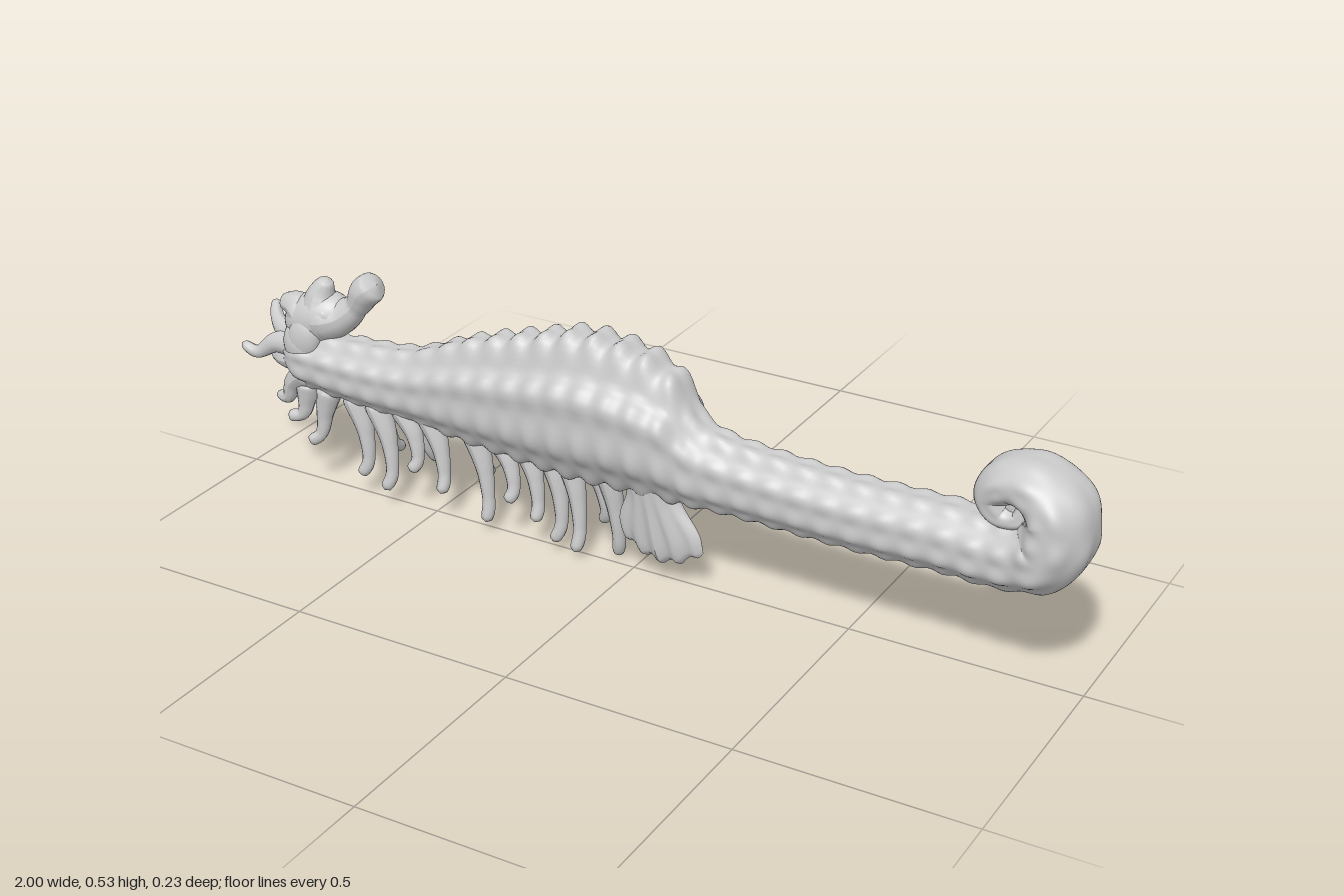
import * as THREE from 'three';

const material = new THREE.MeshStandardMaterial({ color: 0xcccccc, side: THREE.DoubleSide });
const V = (p) => new THREE.Vector3(...p);
const smooth = THREE.MathUtils.smoothstep;

function add(group, geometry, name) {
  const mesh = new THREE.Mesh(geometry, material);
  mesh.name = name;
  group.add(mesh);
}

// Linear interpolation through a list of numbers, t in 0..1
function sample(list, t) {
  const f = t * (list.length - 1);
  const i = Math.min(Math.floor(f), list.length - 2);
  return THREE.MathUtils.lerp(list[i], list[i + 1], f - i);
}

// Tube whose radius follows a list and closes with rounded ends
function taperedTube(points, radii, steps = 28, sides = 12) {
  const curve = new THREE.CatmullRomCurve3(points.map(V));
  const geo = new THREE.TubeGeometry(curve, steps, 1, sides, false);
  const pos = geo.attributes.position;
  const p = new THREE.Vector3();
  for (let i = 0; i <= steps; i++) {
    const t = i / steps;
    const c = curve.getPointAt(t);
    const cap = Math.sqrt(Math.max(0, 1 - Math.pow(Math.abs(2 * t - 1), 14)));
    const r = sample(radii, t) * Math.max(cap, 0.02);
    for (let j = 0; j <= sides; j++) {
      const k = i * (sides + 1) + j;
      p.fromBufferAttribute(pos, k).sub(c).multiplyScalar(r).add(c);
      pos.setXYZ(k, p.x, p.y, p.z);
    }
  }
  geo.computeVertexNormals();
  return geo;
}

// Body and curled tail: x, y, z of the centre line, half height, half width
const stations = [
  [-0.88, 0.31, -0.005, 0.03, 0.03],
  [-0.84, 0.308, -0.005, 0.066, 0.058],
  [-0.7, 0.302, -0.003, 0.074, 0.06],
  [-0.55, 0.306, -0.003, 0.083, 0.064],
  [-0.4, 0.329, 0.0, 0.118, 0.074],
  [-0.25, 0.346, 0.0, 0.144, 0.088],
  [-0.1, 0.362, 0.0, 0.164, 0.1],
  [0.03, 0.359, 0.002, 0.155, 0.1],
  [0.11, 0.339, 0.003, 0.135, 0.088],
  [0.155, 0.305, 0.006, 0.1, 0.07],
  [0.21, 0.294, 0.008, 0.086, 0.06],
  [0.3, 0.289, 0.01, 0.08, 0.058],
  [0.5, 0.284, 0.012, 0.076, 0.062],
  [0.7, 0.288, 0.014, 0.074, 0.067],
  [0.84, 0.292, 0.018, 0.072, 0.08],
  [0.917, 0.322, 0.022, 0.074, 0.095],
  [0.929, 0.405, 0.022, 0.068, 0.094],
  [0.885, 0.447, 0.02, 0.056, 0.083],
  [0.828, 0.445, 0.016, 0.047, 0.073],
  [0.797, 0.41, 0.012, 0.04, 0.067],
  [0.82, 0.376, 0.01, 0.032, 0.06],
  [0.858, 0.38, 0.01, 0.028, 0.056],
  [0.864, 0.412, 0.01, 0.024, 0.053],
  [0.838, 0.415, 0.01, 0.018, 0.045],
];

function bodyGeometry() {
  const path = new THREE.CatmullRomCurve3(stations.map((s) => V(s.slice(0, 3))));
  const size = new THREE.CatmullRomCurve3(stations.map((s) => new THREE.Vector3(s[3], s[4], 0)));
  const rings = 420, sides = 72;
  const verts = [], index = [];
  let length = 0, last = path.getPoint(0);
  for (let i = 0; i <= rings; i++) {
    const t = i / rings;
    const c = path.getPoint(t), d = path.getTangent(t), s = size.getPoint(t);
    length += c.distanceTo(last);
    last = c;
    // Upright sections along the trunk, turning with the path in the curl
    const turn = smooth(t, 0.48, 0.58);
    const n = new THREE.Vector3(-d.y * turn, 1 + (d.x - 1) * turn, 0).normalize();
    const crest = smooth(c.x, -0.6, -0.25) * (1 - smooth(c.x, 0.06, 0.18));
    const fade = 1 - 0.5 * smooth(t, 0.58, 0.72);
    const wave = Math.cos(length * Math.PI * 2 / 0.062);
    const cap = i === 0 || i === rings ? 0.01 : 1;
    for (let j = 0; j < sides; j++) {
      const a = (j / sides) * Math.PI * 2;
      const up = Math.sin(a), out = Math.cos(a);
      const ridge = Math.cos(8 * a - Math.PI);
      const top = Math.pow(Math.max(0, up), 10);
      // Side shelf with a groove above it
      const shelf = Math.exp(-Math.pow((up - 0.27) / 0.14, 2)) - 1.1 * Math.exp(-Math.pow((up - 0.6) / 0.16, 2));
      // Lengthwise ridges, cross rings and a scalloped crest
      const k = cap * (1 + fade * (0.035 * ridge + 0.02 * wave * (1 + ridge))
        + (0.03 + 0.05 * crest) * (1 - turn) * shelf + crest * top * (0.045 + 0.045 * wave));
      const narrow = 1 - crest * 0.1 * Math.max(0, up);
      const h = up * s.x * k;
      verts.push(c.x + n.x * h, c.y + n.y * h, c.z + out * s.y * k * narrow);
    }
  }
  for (let i = 0; i < rings; i++) {
    for (let j = 0; j < sides; j++) {
      const a = i * sides + j, d = i * sides + (j + 1) % sides;
      index.push(a, a + sides, d + sides, a, d + sides, d);
    }
  }
  const geo = new THREE.BufferGeometry();
  geo.setAttribute('position', new THREE.Float32BufferAttribute(verts, 3));
  geo.setIndex(index);
  geo.computeVertexNormals();
  return geo;
}

function ellipsoid(group, name, at, scale, tilt = 0) {
  const geo = new THREE.SphereGeometry(1, 28, 20).scale(...scale).rotateZ(tilt).translate(...at);
  add(group, geo, name);
}

function createHead() {
  const head = new THREE.Group();
  head.name = 'head';
  ellipsoid(head, 'skull', [-0.8, 0.405, -0.01], [0.09, 0.06, 0.056], 0.4);
  ellipsoid(head, 'throat', [-0.825, 0.345, -0.008], [0.06, 0.065, 0.062]);
  for (const side of [1, -1]) {
    ellipsoid(head, 'cheek', [-0.815, 0.365, side * 0.038 - 0.01], [0.04, 0.055, 0.026], -0.3);
    ellipsoid(head, 'eyeRidge', [-0.775, 0.42, side * 0.032 - 0.01], [0.035, 0.026, 0.018], 0.5);
  }
  // Snout flares at the mouth
  add(head, taperedTube([[-0.81, 0.405, -0.005], [-0.74, 0.42, -0.01], [-0.695, 0.455, -0.01], [-0.67, 0.492, -0.01], [-0.64, 0.514, -0.01]],
    [0.055, 0.052, 0.038, 0.027, 0.035, 0.036], 30, 18), 'snout');
  add(head, taperedTube([[-0.79, 0.42, -0.005], [-0.785, 0.465, -0.005], [-0.768, 0.502, -0.005]], [0.05, 0.034, 0.015]), 'crown');
  add(head, taperedTube([[-0.82, 0.4, 0], [-0.855, 0.425, 0], [-0.89, 0.43, 0.005]], [0.045, 0.034, 0.016]), 'rearCrown');
  return head;
}

// Fringe strands: root x, tip x, tip y, tip z
const strands = [
  [-0.83, -0.87, 0.15, 0.02], [-0.77, -0.81, 0.105, 0.03], [-0.71, -0.68, 0.05, 0.02],
  [-0.69, -0.66, 0.07, -0.11], [-0.65, -0.61, 0.035, 0.03], [-0.6, -0.55, 0.07, -0.11],
  [-0.58, -0.54, 0.1, 0.03], [-0.51, -0.46, 0.065, 0.03], [-0.45, -0.41, 0.08, -0.09],
  [-0.4, -0.35, 0.02, 0.02], [-0.34, -0.29, 0.09, 0.03], [-0.27, -0.22, 0.06, 0.03],
  [-0.21, -0.18, 0.02, 0.02], [-0.16, -0.12, 0.015, 0.03], [-0.12, -0.09, 0.07, -0.04],
  [-0.08, -0.05, 0.0, -0.035],
];

function createFringe() {
  const fringe = new THREE.Group();
  fringe.name = 'bellyFringe';
  strands.forEach(([x, tx, ty, tz], i) => {
    const bend = i % 2 ? 0.008 : 0.016;
    const drop = 0.25 - ty;
    add(fringe, taperedTube([
      [x, 0.25, tz * 0.2], [x + (tx - x) * 0.5 + bend, 0.25 - drop * 0.4, tz * 0.4],
      [x + (tx - x) * 0.75 + bend, 0.25 - drop * 0.8, tz * 0.65], [tx - 0.008, ty + 0.008, tz],
    ], [0.032, 0.025, 0.018, 0.014, 0.015]), 'fringeStrand');
  });
  // Strands behind the head
  const mane = [
    [[-0.84, 0.33, 0], [-0.91, 0.325, 0.005], [-0.96, 0.295, 0.015], [-0.998, 0.31, 0.02]],
    [[-0.84, 0.34, -0.01], [-0.9, 0.345, -0.02], [-0.94, 0.36, -0.04], [-0.97, 0.385, -0.075]],
    [[-0.83, 0.3, 0], [-0.89, 0.29, 0], [-0.93, 0.28, -0.02], [-0.95, 0.275, -0.04]],
    [[-0.82, 0.28, 0.01], [-0.865, 0.24, 0.01], [-0.885, 0.2, 0.01], [-0.92, 0.195, 0.0]],
  ];
  for (const line of mane) add(fringe, taperedTube(line, [0.036, 0.026, 0.016, 0.011]), 'neckStrand');
  return fringe;
}

// Fan fin: a flattened sleeve, spreading and thinning towards a scalloped rim
function finGeometry() {
  const geo = new THREE.CylinderGeometry(1, 1, 1, 80, 24, true);
  const pos = geo.attributes.position;
  for (let i = 0; i < pos.count; i++) {
    const u = pos.getX(i), v = 0.5 - pos.getY(i), side = pos.getZ(i);
    const ray = Math.cos(u * 14);
    const width = 0.06 + 0.036 * smooth(v, 0.1, 0.8);
    const thick = (0.034 - 0.016 * v) * Math.sqrt(1 - Math.pow(v, 8)) * (1 + 0.2 * v * ray);
    const drop = 0.172 - 0.045 * u * u + 0.006 * ray;
    pos.setXYZ(i, 0.052 + 0.027 * v + u * width, 0.228 - v * drop, 0.018 + side * thick);
  }
  geo.computeVertexNormals();
  return geo;
}

export function createModel() {
  const model = new THREE.Group();
  model.name = 'seahorse';
  add(model, bodyGeometry(), 'bodyAndTail');
  model.add(createHead(), createFringe());
  add(model, finGeometry(), 'fanFin');
  // Web closing the middle of the curl
  ellipsoid(model, 'curlCore', [0.855, 0.402, 0.01], [0.055, 0.05, 0.045]);
  return model;
}
